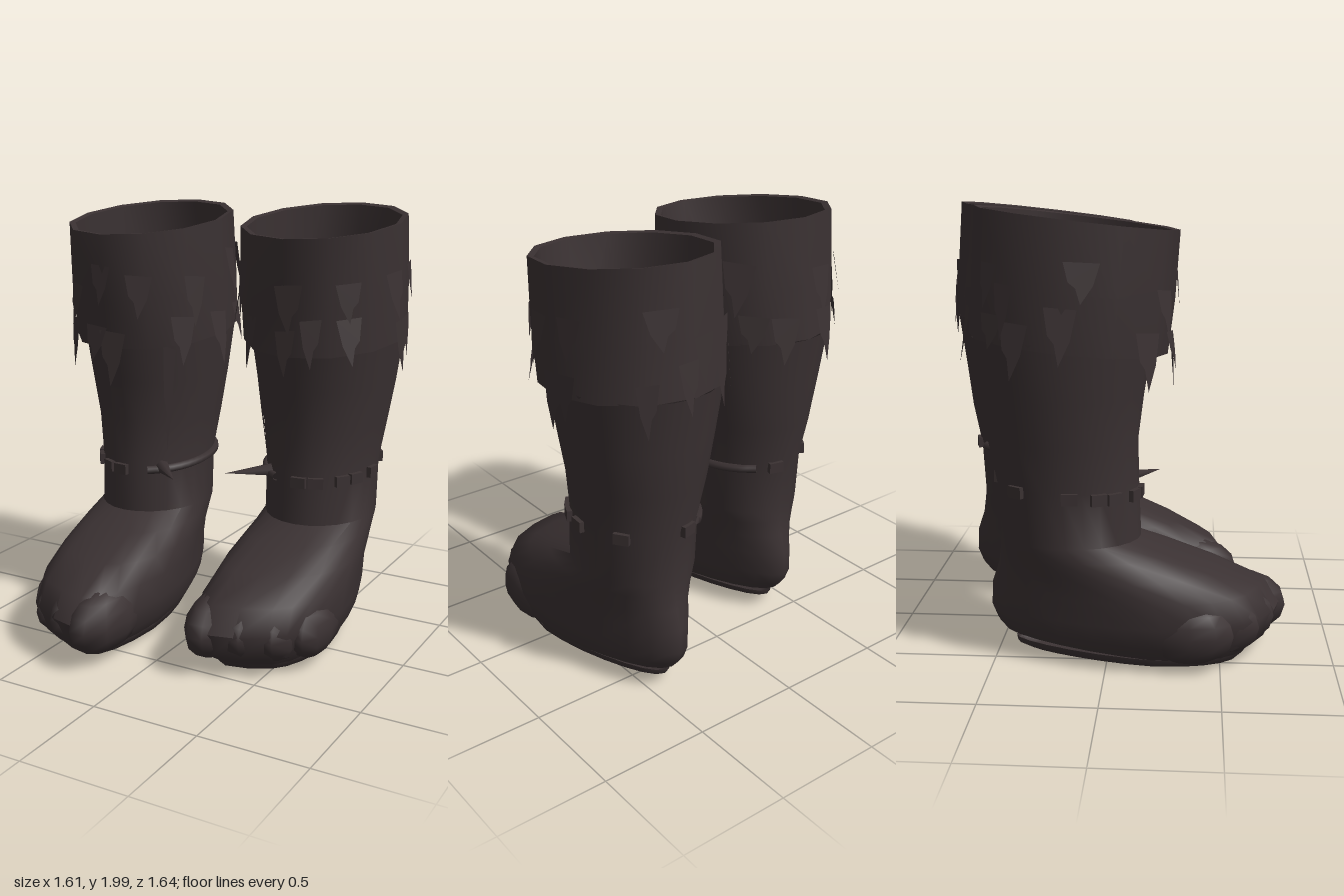
import * as THREE from 'three';
import { toCreasedNormals } from 'three/addons/utils/BufferGeometryUtils.js';

const leather = new THREE.MeshStandardMaterial({ color: 0x3a3132, side: THREE.DoubleSide });
leather.name = 'dark leather';

function part(name, geometry, parent) {
  const mesh = new THREE.Mesh(geometry, leather);
  mesh.name = name;
  parent.add(mesh);
  return mesh;
}

// Skin a list of rings, each with the same number of points
function loft(rings, crease = 0.7) {
  const n = rings[0].length, pos = [], idx = [];
  rings.forEach(r => r.forEach(p => pos.push(p.x, p.y, p.z)));
  for (let k = 0; k < rings.length - 1; k++) {
    for (let i = 0; i < n; i++) {
      const a = k * n + i, b = k * n + (i + 1) % n;
      idx.push(a, a + n, b, b, a + n, b + n);
    }
  }
  const g = new THREE.BufferGeometry();
  g.setAttribute('position', new THREE.Float32BufferAttribute(pos, 3));
  g.setIndex(idx);
  return toCreasedNormals(g, crease);
}

// Horizontal oval ring, tilted so that it rises toward the back
function oval(y, rx, back, front, tilt = 0, sides = 12) {
  const zc = (back + front) / 2, rz = (front - back) / 2;
  return Array.from({ length: sides }, (_, i) => {
    const a = (i / sides) * Math.PI * 2;
    const z = rz * Math.sin(a);
    return new THREE.Vector3(rx * Math.cos(a), y - tilt * z, zc + z);
  });
}

// Horizontal footprint ring: narrow heel, wide square toes that slant back
// toward the outer side; rise lifts the heel and lowers the toes
function footprint([y, back, front, heelWidth, ballWidth, slant, rise]) {
  const zc = (back + front) / 2, rz = (front - back) / 2;
  return Array.from({ length: 24 }, (_, i) => {
    const a = (i / 24) * Math.PI * 2, c = Math.cos(a), s = Math.sin(a);
    const square = Math.max(s, 0) * (slant > 0 ? 0.35 : 0);
    const width = THREE.MathUtils.lerp(heelWidth, ballWidth, Math.min(1, (s + 1) / 1.3));
    const x = width * Math.sign(c) * Math.abs(c) ** (1 - square);
    const zs = Math.sign(s) * Math.abs(s) ** (1 - square * 0.7);
    return new THREE.Vector3(x, y - rise * s, zc + rz * zs - slant * x * Math.max(s, 0));
  });
}

// Thin ragged scrap hanging from its top edge
function scrapGeometry(w, l) {
  const s = new THREE.Shape([
    [-w, 0], [-w * 0.6, -l * 0.55], [w * 0.1, -l], [w * 0.35, -l * 0.6], [w * 0.75, -l * 0.45], [w, l * 0.05],
  ].map(p => new THREE.Vector2(...p)));
  return new THREE.ShapeGeometry(s);
}

// Set a scrap on an oval wall at angle a, facing outward
function addScrap(name, parent, a, y, rx, back, front, w, l, flare) {
  const rz = (front - back) / 2, c = Math.cos(a), s = Math.sin(a);
  const m = part(name, scrapGeometry(w, l), parent);
  m.rotation.order = 'YXZ';
  m.rotation.set(-flare, Math.atan2(c / rx, s / rz), 0);
  m.position.set(rx * c, y, (front + back) / 2 + rz * s);
}

function createBoot(name, seed) {
  const boot = new THREE.Group();
  boot.name = name;
  const rand = () => (seed = (seed * 16807) % 2147483647) / 2147483647;

  // Foot and shaft in one skin, open underneath
  part('footAndShaft', loft([
    ...[
      [0.075, -0.57, 0.5, 0.17, 0.25, 0.38, 0.04],
      [0.13, -0.61, 0.59, 0.19, 0.29, 0.4, 0.03],
      [0.22, -0.635, 0.635, 0.195, 0.315, 0.4, 0],
      [0.33, -0.63, 0.565, 0.2, 0.312, 0.35, 0],
      [0.42, -0.6, 0.38, 0.225, 0.3, 0.2, 0],
      [0.5, -0.59, 0.18, 0.245, 0.275, 0.06, 0],
      [0.56, -0.585, 0.04, 0.26, 0.26, 0, 0],
    ].map(footprint),
    oval(0.8, 0.26, -0.6, 0.03, 0, 24),
    oval(1.0, 0.29, -0.64, 0.025, 0, 24),
    oval(1.2, 0.325, -0.665, 0.05, 0, 24),
    oval(1.45, 0.36, -0.7, 0.09, 0, 24),
  ], 0.9), boot);

  // Cuff, folded over the rim and down its inside
  part('cuff', loft([
    oval(1.43, 0.35, -0.69, 0.085, 0.1),
    oval(1.415, 0.375, -0.715, 0.15, 0.1),
    oval(1.66, 0.38, -0.7, 0.18, 0.11),
    oval(1.95, 0.372, -0.68, 0.2, 0.115),
    oval(1.945, 0.345, -0.65, 0.17, 0.115),
    oval(1.44, 0.335, -0.67, 0.08, 0.1),
  ]), boot);

  // Toe lobes: x, y, z, then radii
  [
    [-0.165, 0.2, 0.45, 0.125, 0.155, 0.255],
    [-0.01, 0.2, 0.4, 0.105, 0.15, 0.245],
    [0.12, 0.19, 0.34, 0.1, 0.145, 0.235],
    [0.215, 0.18, 0.26, 0.09, 0.135, 0.2],
  ].forEach(([x, y, z, rx, ry, rz]) => {
    part('toe', new THREE.SphereGeometry(1, 10, 8).scale(rx, ry, rz), boot).position.set(x, y, z);
  });

  // Sole: a shallow sheet with a raised edge
  part('sole', loft([
    [0.012, -0.03, 0.03, 0.01, 0.01, 0, 0],
    [0.014, -0.46, 0.42, 0.1, 0.19, 0.35, 0.008],
    [0.035, -0.52, 0.5, 0.14, 0.24, 0.38, 0.015],
    [0.065, -0.525, 0.52, 0.145, 0.25, 0.38, 0.01],
  ].map(footprint), 1.0), boot);

  // Ankle strap along the inner side, with its pointed end and loose tabs
  const path = Array.from({ length: 9 }, (_, i) => {
    const a = 2.0 + i * 0.27;
    return new THREE.Vector3(0.264 * Math.cos(a), 0.785 - 0.02 * Math.sin(a), -0.285 + 0.32 * Math.sin(a));
  });
  part('strap', new THREE.TubeGeometry(new THREE.CatmullRomCurve3(path), 16, 0.02, 6), boot);
  [0.1, 0.5, 0.75, 1.2, 1.5, 4.5, 5.6].forEach(a => {
    const tab = part('strapTab', new THREE.BoxGeometry(0.07, 0.05, 0.03), boot);
    const c = Math.cos(a), s = Math.sin(a);
    tab.position.set(0.265 * c, 0.785 - 0.02 * s, -0.285 + 0.32 * s);
    tab.rotation.y = Math.atan2(c / 0.265, s / 0.32);
  });
  const spike = part('strapPoint', new THREE.ConeGeometry(0.035, 0.24, 6), boot);
  const dir = new THREE.Vector3(-0.7, 0, 0.7).normalize();
  spike.quaternion.setFromUnitVectors(new THREE.Vector3(0, 1, 0), dir);
  spike.position.set(-0.24, 0.78, 0.03);

  // Torn seam down the front of the shaft
  addScrap('tornSeam', boot, 2.3, 1.36, 0.345, -0.68, 0.085, 0.03, 0.5, -0.11);

  // Ragged scraps around the cuff: lower fringe and a sparse upper row
  for (let i = 0; i < 12; i++) {
    const a = ((i + rand() * 0.8) / 12) * Math.PI * 2;
    const y = 1.48 + rand() * 0.12 - 0.04 * Math.sin(a);
    addScrap('lowerScrap', boot, a, y, 0.376, -0.712, 0.165, 0.045 + rand() * 0.03, 0.14 + rand() * 0.12, 0.05 + rand() * 0.15);
  }
  for (let i = 0; i < 10; i++) {
    const a = ((i + rand() * 0.8) / 10) * Math.PI * 2;
    const y = 1.66 + rand() * 0.14 - 0.04 * Math.sin(a);
    addScrap('upperScrap', boot, a, y, 0.379, -0.7, 0.185, 0.045 + rand() * 0.03, 0.16 + rand() * 0.1, 0.05 + rand() * 0.14);
  }
  return boot;
}

export function createModel() {
  const model = new THREE.Group();
  model.name = 'boots';
  const left = createBoot('leftBoot', 17);
  left.position.set(0.41, 0, -0.105);
  const right = createBoot('rightBoot', 91);
  right.scale.x = -1;
  right.position.set(-0.395, 0, 0.105);
  model.add(left, right);
  return model;
}
